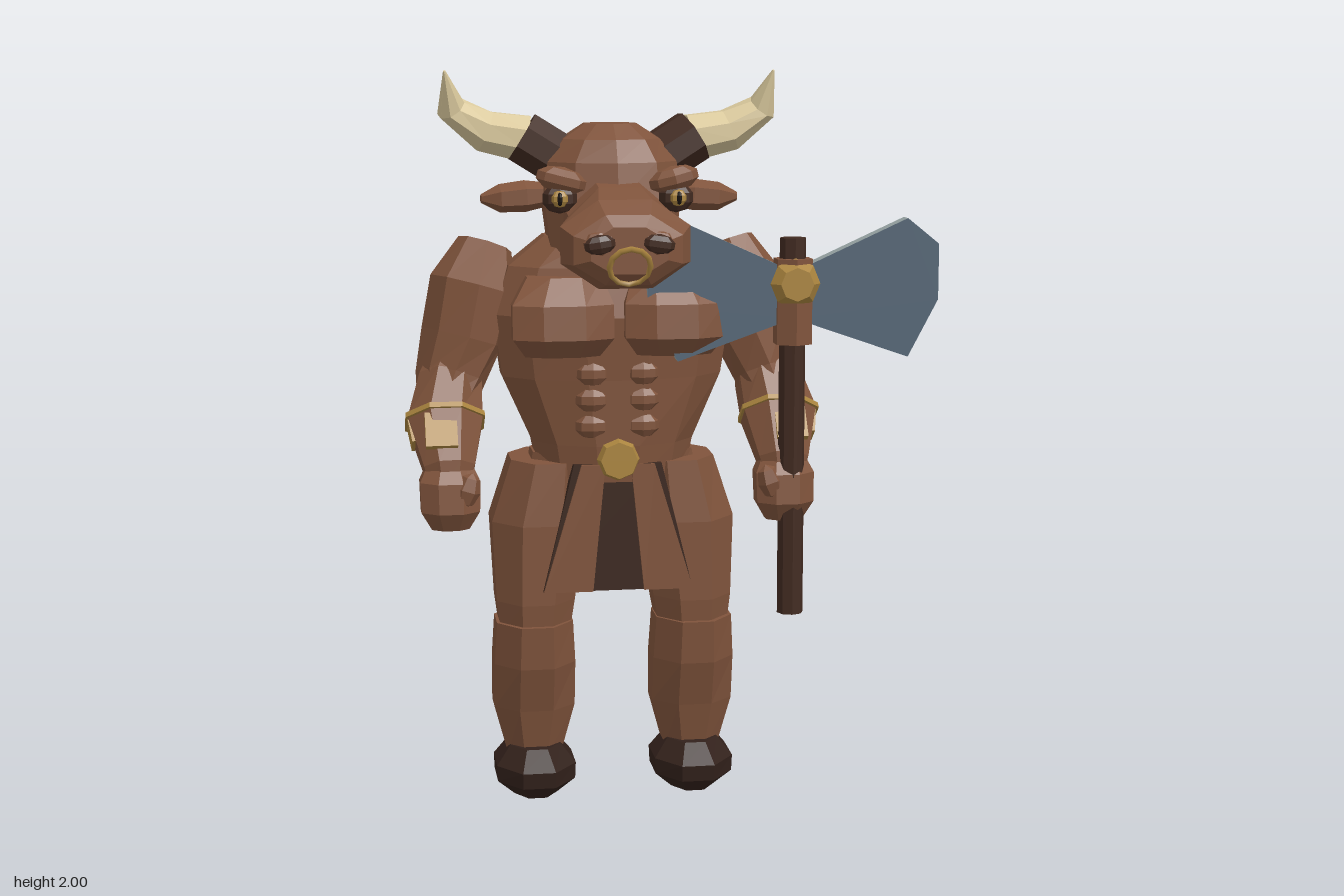
import * as THREE from 'three';

const mat = (name, color) => {
  const m = new THREE.MeshStandardMaterial({ color });
  m.name = name;
  return m;
};

// Faceted skin through oval rings [x, y, z, r1, r2]; ring planes follow the path or a fixed axis.
function loft(rings, sides, { axis = null, ref = [1, 0, 0] } = {}) {
  const centres = rings.map(r => new THREE.Vector3(r[0], r[1], r[2]));
  const k = 1 / Math.cos(Math.PI / sides);
  const loops = rings.map((r, i) => {
    const t = axis ? new THREE.Vector3(...axis)
      : centres[Math.min(i + 1, rings.length - 1)].clone().sub(centres[Math.max(i - 1, 0)]).normalize();
    const a = new THREE.Vector3(...ref);
    a.addScaledVector(t, -a.dot(t)).normalize();
    const b = t.clone().cross(a);
    return Array.from({ length: sides }, (_, j) => {
      const w = (j + 0.5) / sides * Math.PI * 2;
      return centres[i].clone().addScaledVector(a, Math.cos(w) * r[3] * k)
        .addScaledVector(b, Math.sin(w) * (r[4] ?? r[3]) * k);
    });
  });
  const pos = [];
  const tri = (...v) => v.forEach(p => pos.push(p.x, p.y, p.z));
  const last = loops.length - 1;
  for (let j = 0; j < sides; j++) {
    const n = (j + 1) % sides;
    for (let i = 0; i < last; i++) {
      tri(loops[i][j], loops[i][n], loops[i + 1][n]);
      tri(loops[i][j], loops[i + 1][n], loops[i + 1][j]);
    }
    tri(centres[0], loops[0][n], loops[0][j]);
    tri(centres[last], loops[last][j], loops[last][n]);
  }
  const g = new THREE.BufferGeometry();
  g.setAttribute('position', new THREE.Float32BufferAttribute(pos, 3));
  g.computeVertexNormals();
  return g;
}

const facet = g => {
  const f = g.index ? g.toNonIndexed() : g;
  f.computeVertexNormals();
  return f;
};
const plate = (pts, depth) => new THREE.ExtrudeGeometry(
  new THREE.Shape(pts.map(p => new THREE.Vector2(...p))), { depth, bevelEnabled: false });

export function createModel() {
  const hide = mat('brown hide', 0x80543c);
  const dark = mat('dark brown', 0x422b21);
  const hoofMat = mat('hoof', 0x32211b);
  const horn = mat('horn', 0xd9c89c);
  const gold = mat('gold', 0xab853f);
  const steel = mat('blue steel', 0x546575);
  const edge = mat('blade edge', 0x97a3a3);
  const black = mat('black', 0x17110e);
  const cloth = mat('dark cloth', 0x3b271e);

  const model = new THREE.Group();
  const body = new THREE.Group();
  body.name = 'body';
  body.position.x = -0.153;
  model.add(body);
  const add = (name, geo, m, p = [0, 0, 0], rot = [0, 0, 0], parent = body) => {
    const o = new THREE.Mesh(geo, m);
    o.name = name;
    o.position.set(...p);
    o.rotation.set(...rot);
    parent.add(o);
    return o;
  };
  // Low-poly lump with three radii
  const lump = (name, m, p, r, rot, w = 8, h = 5) =>
    add(name, facet(new THREE.SphereGeometry(1, w, h).scale(...r)), m, p, rot);
  const up = { axis: [0, 1, 0] };

  // Torso and hips
  add('torso', loft([[0, 0.9, -0.12, 0.2, 0.15], [0, 1.0, -0.12, 0.22, 0.16], [0, 1.18, -0.13, 0.3, 0.175],
    [0, 1.35, -0.125, 0.325, 0.185], [0, 1.48, -0.135, 0.28, 0.165], [0, 1.56, -0.14, 0.18, 0.135]], 12, up), hide);
  add('hips', loft([[0, 0.76, -0.13, 0.16, 0.11], [0, 0.86, -0.13, 0.24, 0.135],
    [0, 0.97, -0.13, 0.22, 0.15]], 10, up), hide);

  // Skull and muzzle
  add('skull', loft([[0, 1.42, -0.12, 0.14, 0.13], [0, 1.5, -0.1, 0.165, 0.165], [0, 1.66, -0.105, 0.185, 0.17],
    [0, 1.76, -0.11, 0.175, 0.155], [0, 1.82, -0.11, 0.13, 0.125], [0, 1.86, -0.11, 0.07, 0.07]], 10, up), hide);
  add('muzzle', loft([[0, 1.6, -0.02, 0.14, 0.12], [0, 1.575, 0.1, 0.137, 0.125], [0, 1.56, 0.2, 0.17, 0.115],
    [0, 1.55, 0.255, 0.142, 0.09], [0, 1.55, 0.28, 0.1, 0.06]], 8, { axis: [0, 0, 1] }), hide);
  add('noseRing', new THREE.TorusGeometry(0.053, 0.008, 5, 12), gold, [0, 1.51, 0.285], [0.45, 0, 0]);

  for (const s of [-1, 1]) {
    const flip = rings => rings.map(([x, ...rest]) => [s * x, ...rest]);

    // Face details
    lump('nostrilRim', hide, [s * 0.075, 1.567, 0.262], [0.05, 0.036, 0.03], [0, 0, s * -0.15]);
    lump('nostril', dark, [s * 0.077, 1.567, 0.282], [0.042, 0.026, 0.018], [0, 0, s * -0.15]);
    lump('brow', hide, [s * 0.15, 1.718, 0.05], [0.07, 0.035, 0.045], [0, 0, s * 0.25]);
    lump('eyeSocket', dark, [s * 0.155, 1.67, 0.055], [0.048, 0.04, 0.035]);
    lump('iris', gold, [s * 0.157, 1.67, 0.079], [0.024, 0.023, 0.018]);
    lump('pupil', black, [s * 0.158, 1.67, 0.091], [0.008, 0.018, 0.009]);
    add('ear', loft(flip([[0.15, 1.67, -0.13, 0.03, 0.025], [0.23, 1.665, -0.125, 0.045, 0.037],
      [0.3, 1.66, -0.12, 0.04, 0.033], [0.35, 1.66, -0.115, 0.012, 0.01]]), 6, { ref: [0, 0, 1] }), hide);

    // Horn: dark root and pale curved point
    add('hornRoot', loft(flip([[0.11, 1.745, -0.14, 0.085, 0.07], [0.235, 1.823, -0.15, 0.085, 0.07]]),
      8, { ref: [0, 0, 1] }), dark);
    add('hornPoint', loft(flip([[0.222, 1.817, -0.15, 0.077, 0.062], [0.335, 1.838, -0.155, 0.072, 0.055],
      [0.425, 1.9, -0.14, 0.05, 0.038], [0.444, 2.0, -0.085, 0.003, 0.003]]), 8, { ref: [0, 0, 1] }), horn);

    // Chest and stomach muscles
    add('chestMuscle', loft(flip([[0.15, 1.25, 0.035, 0.1, 0.05], [0.15, 1.3, 0.06, 0.135, 0.065],
      [0.15, 1.39, 0.055, 0.135, 0.06], [0.14, 1.46, 0.0, 0.1, 0.06]]), 8, up), hide);
    for (let i = 0; i < 3; i++)
      lump('stomachMuscle', hide, [s * 0.068, 1.2 - i * 0.072, 0.032 - i * 0.004], [0.048, 0.036, 0.03]);

    // Arm, turned outwards at the shoulder
    add('upperArm', loft(flip([[0.335, 1.53, -0.195, 0.07, 0.07], [0.37, 1.42, -0.17, 0.11, 0.118],
      [0.405, 1.28, -0.16, 0.1, 0.122], [0.44, 1.17, -0.135, 0.085, 0.105], [0.455, 1.1, -0.09, 0.07, 0.08]]),
      8, { ref: [1, 0, s * 0.45] }), hide);
    add('forearm', loft(flip([[0.43, 1.21, -0.155, 0.07, 0.08], [0.44, 1.16, -0.13, 0.085, 0.1],
      [0.46, 1.06, -0.06, 0.1, 0.09], [0.455, 0.95, 0.025, 0.068, 0.06], [0.455, 0.9, 0.04, 0.05, 0.045]]), 8), hide);

    // Bracelet with a broad front plate and a small outer plate
    add('braceletBand', loft(flip([[0.46, 1.071, -0.068, 0.106, 0.096],
      [0.46, 1.059, -0.059, 0.107, 0.097]]), 8), gold);
    add('braceletPlate', new THREE.BoxGeometry(0.085, 0.1, 0.02), gold, [s * 0.475, 1.055, 0.035], [-0.63, 0, 0]);
    add('outerPlate', new THREE.BoxGeometry(0.009, 0.075, 0.06), gold, [s * 0.552, 1.035, -0.045],
      [-0.63, 0, s * -0.15]);

    // Fist
    add('fist', loft(flip([[0.455, 0.79, 0.04, 0.05, 0.04], [0.455, 0.84, 0.045, 0.078, 0.065],
      [0.455, 0.92, 0.035, 0.08, 0.068], [0.455, 0.97, 0.015, 0.055, 0.05]]), 8, up), hide);
    lump('thumb', hide, [s * 0.41, 0.9, 0.085], [0.035, 0.05, 0.03], [0, 0, s * 0.3], 6, 4);

    // Leg, fur cuff at the heel and hoof
    add('thigh', loft(flip([[0.22, 0.47, -0.1, 0.095, 0.11], [0.218, 0.56, -0.11, 0.108, 0.13],
      [0.205, 0.78, -0.135, 0.13, 0.155], [0.18, 0.95, -0.135, 0.1, 0.14]]), 8, up), hide);
    add('shin', loft(flip([[0.222, 0.11, -0.13, 0.075, 0.075], [0.222, 0.25, -0.128, 0.112, 0.105],
      [0.222, 0.38, -0.112, 0.112, 0.13], [0.222, 0.5, -0.1, 0.105, 0.13]]), 8, up), hide);
    add('heelFur', loft(flip([[0.222, 0.13, -0.185, 0.07, 0.08], [0.222, 0.25, -0.19, 0.1, 0.085]]), 6, up), hide);
    add('hoof', loft(flip([[0.222, 0, -0.11, 0.06, 0.09], [0.222, 0.045, -0.11, 0.108, 0.145],
      [0.222, 0.09, -0.11, 0.11, 0.15], [0.222, 0.14, -0.12, 0.07, 0.1]]), 8, up), hoofMat);

    // Side flap of the loincloth
    add('sideFlap', plate([[s * 0.035, 0.95], [s * 0.1, 0.95], [s * 0.205, 0.6], [s * 0.07, 0.6]], 0.008),
      hide, [0, 0, 0.032]);
  }

  // Loincloth, closed underneath, and belt
  add('loincloth', loft([[0, 0.6, -0.137, 0.205, 0.167], [0, 0.95, -0.127, 0.12, 0.157]].map(
    ([x, y, z, a, b]) => [x, y, z, a, b]), 4, up), cloth);
  add('beltBuckle', facet(new THREE.CylinderGeometry(0.05, 0.062, 0.04, 8).rotateX(Math.PI / 2)),
    gold, [0, 0.965, 0.045]);

  // Double-bladed axe
  const axe = new THREE.Group();
  axe.name = 'axe';
  axe.position.set(0.317, 0, 0.068);
  model.add(axe);
  const part = (name, geo, m, p, rot) => add(name, geo, m, p, rot, axe);
  part('handle', facet(new THREE.CylinderGeometry(0.036, 0.036, 1.03, 8)), dark, [0, 1.045, 0]);
  part('axeSocket', facet(new THREE.CylinderGeometry(0.055, 0.055, 0.23, 6)), hide, [0, 1.39, 0.004]);
  part('axeBoss', facet(new THREE.CylinderGeometry(0.045, 0.068, 0.03, 8).rotateX(Math.PI / 2)),
    gold, [0, 1.44, 0.052]);
  const blade = plate([[0, 1.47], [0.31, 1.61], [0.397, 1.54], [0.397, 1.39], [0.315, 1.235], [0, 1.345]], 0.046)
    .translate(0, 0, -0.023);
  for (const turn of [0, Math.PI]) part('axeBlade', blade, [steel, edge], [0, 0, 0], [0, turn, 0]);

  return model;
}
